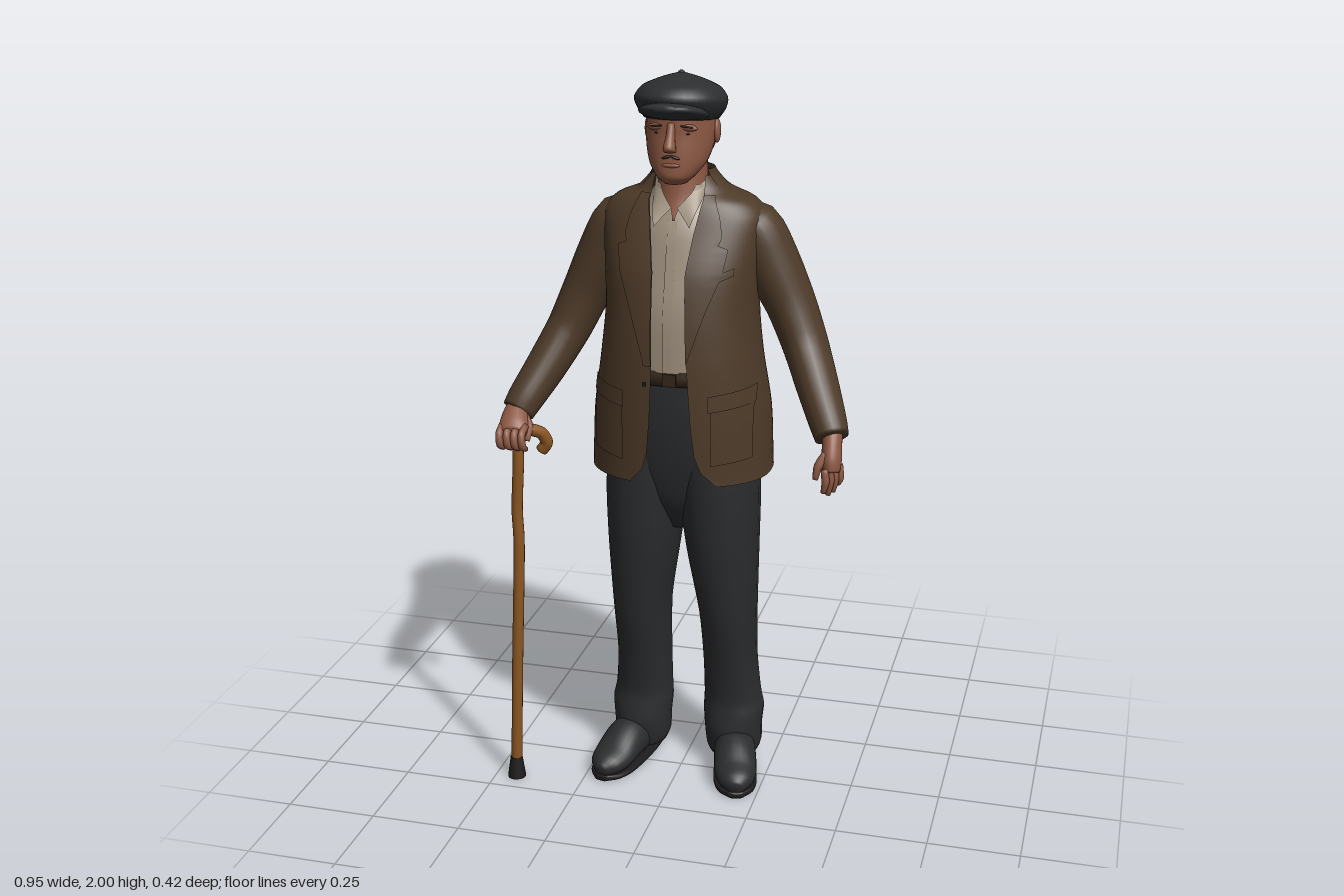
import * as THREE from 'three';

const mat = (name, color, side = THREE.FrontSide) => {
  const m = new THREE.MeshStandardMaterial({ color, side });
  m.name = name;
  return m;
};

// Linear lookup in rows sorted by descending key column
function at(rows, y, k = 0) {
  if (y >= rows[0][k]) return rows[0];
  for (let i = 1; i < rows.length; i++) {
    const a = rows[i - 1], b = rows[i];
    if (y >= b[k]) return a.map((v, j) => v + (b[j] - v) * (a[k] - y) / (a[k] - b[k] || 1));
  }
  return rows[rows.length - 1];
}

// Smoothly subdivide rings [x, y, z, radiusA, radiusB]
function densify(rings, sub = 4) {
  const c = new THREE.CatmullRomCurve3(rings.map(r => new THREE.Vector3(r[0], r[1], r[2])), false, 'catmullrom', 0.4);
  const d = new THREE.CatmullRomCurve3(rings.map(r => new THREE.Vector3(r[3], r[4], 0)), false, 'catmullrom', 0.4);
  const n = (rings.length - 1) * sub, out = [];
  for (let i = 0; i <= n; i++) {
    const p = c.getPoint(i / n), q = d.getPoint(i / n);
    out.push([p.x, p.y, p.z, Math.max(q.x, 0.001), Math.max(q.y, 0.001)]);
  }
  return out;
}

const spow = (v, e) => Math.sign(v) * Math.abs(v) ** e;

// Skin over rings: level (horizontal rings, top down) or square to the path; arc(ring) leaves it open
function loft(rings, { seg = 24, sub = 4, level = false, ref = [0, 0, 1], power = 2, backPower = power, arc = null } = {}) {
  const R = densify(rings, sub), pos = [], idx = [];
  const P = R.map(r => new THREE.Vector3(r[0], r[1], r[2]));
  const cols = arc ? seg + 1 : seg;
  R.forEach((r, i) => {
    let A = new THREE.Vector3(1, 0, 0), B = new THREE.Vector3(0, 0, 1);
    if (!level) {
      const T = P[Math.min(i + 1, P.length - 1)].clone().sub(P[Math.max(i - 1, 0)]).normalize();
      A = new THREE.Vector3(...ref).cross(T).normalize();
      B = T.clone().cross(A);
    }
    const [s, f] = arc ? arc(r) : [0, Math.PI * 2];
    for (let j = 0; j < cols; j++) {
      const a = s + (f - s) * j / seg, e = 2 / (Math.sin(a) < 0 ? backPower : power);
      const v = P[i].clone().addScaledVector(A, r[3] * spow(Math.cos(a), e)).addScaledVector(B, r[4] * spow(Math.sin(a), e));
      pos.push(v.x, v.y, v.z);
    }
  });
  for (let i = 0; i < R.length - 1; i++) for (let j = 0; j < seg; j++) {
    const k = (j + 1) % cols, a = i * cols + j, b = i * cols + k;
    idx.push(a, b, a + cols, b, b + cols, a + cols);
  }
  if (!arc) {
    const n = pos.length / 3, last = (R.length - 1) * cols, q = P[P.length - 1];
    pos.push(P[0].x, P[0].y, P[0].z, q.x, q.y, q.z);
    for (let j = 0; j < seg; j++) {
      const k = (j + 1) % seg;
      idx.push(n, k, j, n + 1, last + j, last + k);
    }
  }
  return build(pos, idx);
}

function build(pos, idx) {
  const g = new THREE.BufferGeometry();
  g.setAttribute('position', new THREE.Float32BufferAttribute(pos, 3));
  g.setIndex(idx);
  g.computeVertexNormals();
  return g;
}

// Grid of points f(u, v)
function patch(f, nu = 6, nv = 14) {
  const pos = [], idx = [];
  for (let i = 0; i <= nv; i++) for (let j = 0; j <= nu; j++) {
    pos.push(...f(j / nu, i / nv));
    if (i < nv && j < nu) {
      const a = i * (nu + 1) + j, b = a + nu + 1;
      idx.push(a, a + 1, b, a + 1, b + 1, b);
    }
  }
  return build(pos, idx);
}

export function createModel() {
  const D = THREE.DoubleSide;
  const jacketM = mat('brown tweed', 0x4d3a28, D), trouserM = mat('charcoal cloth', 0x2b2c2e), capM = mat('cap grey', 0x2c2e30);
  const skin = mat('skin', 0x8c5843), shirtM = mat('shirt beige', 0x9c8e7c, D), wood = mat('cane wood', 0x8a5622);
  const black = mat('black rubber', 0x1c1c1e), hairM = mat('dark hair', 0x2b211c, D), leather = mat('belt leather', 0x35271a);

  const root = new THREE.Group();
  root.name = 'oldManWithCane';
  const add = (name, geo, m, parent = root) => {
    const mesh = new THREE.Mesh(geo, m);
    mesh.name = name;
    parent.add(mesh);
    return mesh;
  };
  const ball = (name, m, p, s, rz = 0) => {
    const b = add(name, new THREE.SphereGeometry(1, 14, 10), m);
    b.position.set(...p); b.scale.set(...s); b.rotation.z = rz;
  };
  const mir = (rings, s) => rings.map(r => [r[0] * s, ...r.slice(1)]);

  // Jacket body, open down the front
  const N = 2.15;
  const jacketRings = [
    [0, 1.735, -0.035, 0.08, 0.07], [0, 1.695, -0.045, 0.125, 0.09], [0, 1.668, -0.045, 0.188, 0.106],
    [0, 1.62, -0.042, 0.22, 0.126], [0, 1.5, -0.02, 0.21, 0.157], [0, 1.38, -0.01, 0.205, 0.172],
    [0, 1.25, -0.007, 0.218, 0.181], [0, 1.1, -0.016, 0.24, 0.192], [0, 0.93, -0.017, 0.248, 0.191]];
  const dense = densify(jacketRings);
  const edge = {
    1: [[1.74, 0.066], [1.68, 0.072], [1.6, 0.058], [1.5, 0.046], [1.25, 0.058], [1.1, 0.068], [1, 0.08], [0.96, 0.1], [0.93, 0.135]],
    '-1': [[1.74, 0.066], [1.68, 0.072], [1.6, 0.058], [1.5, 0.042], [1.25, 0.036], [1.1, 0.043], [1, 0.052], [0.96, 0.068], [0.93, 0.1]] };
  const gap = (r, s) => Math.asin(Math.min(0.98, at(edge[s], r[1])[1] / r[3]) ** (N / 2));
  // asin keeps the opening at the wanted x on the superellipse
  add('jacketBody', loft(jacketRings, { level: true, seg: 60, power: N, backPower: 2.6,
    arc: r => [Math.PI / 2 + gap(r, -1), Math.PI * 2.5 - gap(r, 1)] }), jacketM);
  const front = (x, y) => {
    const r = at(dense, y, 1);
    return r[2] + r[4] * Math.max(0, 1 - Math.min(1, Math.abs(x) / r[3]) ** N) ** (1 / N);
  };
  const plate = (name, m, x0, x1, y0, y1, lift = 0.007, drop = 0) => add(name, patch((u, v) => {
    const x = x0 + (x1 - x0) * u, y = y0 + (y1 - y0) * v + drop * u;
    return [x, y, front(x, y) + lift];
  }, 6, 4), m);

  // Jacket collar round the back of the neck
  add('jacketCollar', loft([[0, 1.752, -0.03, 0.082, 0.072], [0, 1.73, -0.038, 0.093, 0.082], [0, 1.685, -0.045, 0.135, 0.1]],
    { level: true, arc: () => [Math.PI * 0.84, Math.PI * 2.16] }), jacketM);

  // Lapels and hip pockets, mirrored
  const lapelEdge = [[1.7, 0.095], [1.64, 0.12], [1.585, 0.132], [1.575, 0.112], [1.565, 0.148], [1.5, 0.138], [1.4, 0.1], [1.27, 0.058]];
  for (const s of [1, -1]) {
    add('lapel', patch((u, v) => {
      const y = 1.26 + 0.43 * v, a = at(edge[s], y)[1];
      const x = a + (Math.max(at(lapelEdge, y)[1], a) - a) * u;
      return [s * x, y, front(x, y) + 0.008];
    }, 6, 40), jacketM);
    plate('pocketFlap', jacketM, s * 0.115, s * 0.222, 1.14, 1.185, 0.012, 0.012);
    plate('hipPocket', jacketM, s * 0.12, s * 0.218, 0.99, 1.15, 0.006, 0.01);
  }
  plate('breastPocket', jacketM, 0.11, 0.165, 1.475, 1.495, 0.01, 0.02);
  plate('jacketButton', black, -0.06, -0.048, 1.205, 1.217, 0.008);

  // Shirt with open neck, collar points and placket
  const shirtOpen = [[1.72, 0.05], [1.69, 0.036], [1.65, 0.004], [1.6, 0.001]];
  const shirtRings = [[0, 1.715, -0.02, 0.07, 0.065], [0, 1.67, -0.025, 0.095, 0.085], [0, 1.6, -0.025, 0.15, 0.12],
    [0, 1.5, -0.02, 0.18, 0.14], [0, 1.38, -0.01, 0.185, 0.155], [0, 1.2, -0.01, 0.19, 0.158]];
  add('shirt', loft(shirtRings, { level: true, seg: 40, arc: r => {
    const g = Math.asin(Math.min(0.95, at(shirtOpen, r[1])[1] / r[3]));
    return [Math.PI / 2 + g, Math.PI * 2.5 - g];
  } }), shirtM);
  const shirtDense = densify(shirtRings), shirtZ = y => { const r = at(shirtDense, y, 1); return r[2] + r[4]; };
  add('shirtPlacket', patch((u, v) => [-0.012 + 0.024 * u, 1.23 + 0.4 * v, shirtZ(1.23 + 0.4 * v) + 0.003], 2, 12), shirtM);
  for (const s of [1, -1]) add('shirtCollar', patch((u, v) => {
    const x = (1 - v) * (0.07 - 0.002 * u) + v * (0.008 + 0.04 * u);
    const y = (1 - v) * (1.73 - 0.045 * u) + v * (1.66 - 0.045 * u);
    return [s * x, y, (1 - v) * (-0.01 + 0.035 * u) + v * (0.072 + 0.03 * u) + 0.012 * Math.sin(Math.PI * v)];
  }, 4, 8), shirtM);

  // Trousers: hips, belt and legs
  add('trouserHips', loft([[0, 1.23, -0.01, 0.185, 0.152], [0, 1.1, -0.015, 0.2, 0.157], [0, 0.97, -0.022, 0.2, 0.147],
    [0, 0.85, -0.032, 0.13, 0.125], [0, 0.755, -0.035, 0.035, 0.07]], { level: true, seg: 36, power: 2.2 }), trouserM);
  add('belt', loft([[0, 1.238, -0.01, 0.188, 0.157], [0, 1.2, -0.01, 0.192, 0.163]], { level: true, seg: 36, sub: 2, power: 2.2 }), leather);
  add('beltBuckle', new THREE.BoxGeometry(0.036, 0.034, 0.009), leather).position.set(0.008, 1.219, 0.156);

  for (const s of [1, -1]) {
    add('trouserLeg', loft(mir([[0.085, 1.1, -0.018, 0.1, 0.14], [0.098, 0.98, -0.023, 0.107, 0.149], [0.104, 0.86, -0.028, 0.109, 0.149],
      [0.112, 0.7, -0.034, 0.098, 0.141], [0.125, 0.5, -0.052, 0.079, 0.123], [0.127, 0.34, -0.074, 0.075, 0.102],
      [0.132, 0.22, -0.087, 0.08, 0.09], [0.136, 0.17, -0.086, 0.086, 0.092], [0.136, 0.12, -0.082, 0.082, 0.093],
      [0.137, 0.06, -0.088, 0.079, 0.088], [0.137, 0.035, -0.09, 0.07, 0.08]], s), { level: true, power: 2.2 }), trouserM);
    // Shoes splay outwards
    const shoe = [[0.13, 0.045, -0.165, 0.025, 0.025], [0.132, 0.054, -0.148, 0.045, 0.046], [0.143, 0.064, -0.07, 0.054, 0.06],
      [0.162, 0.066, 0.01, 0.06, 0.06], [0.18, 0.046, 0.08, 0.06, 0.042], [0.192, 0.037, 0.125, 0.047, 0.033], [0.2, 0.03, 0.153, 0.018, 0.018]];
    add('shoe', loft(mir(shoe, s), { ref: [0, 1, 0] }), trouserM);
    add('shoeSole', loft(mir(shoe.map(r => [r[0], 0.009, r[2], r[3] + 0.001, 0.009]), s), { ref: [0, 1, 0], power: 4 }), black);
    // Sleeves
    add('sleeve', loft(mir([[0.11, 1.605, -0.055, 0.04, 0.06], [0.185, 1.596, -0.062, 0.066, 0.08], [0.228, 1.5, -0.068, 0.076, 0.084],
      [0.283, 1.39, -0.068, 0.067, 0.08], [0.33, 1.285, -0.045, 0.061, 0.074], [0.377, 1.19, 0.015, 0.056, 0.066],
      [0.417, 1.115, 0.075, 0.05, 0.055], [0.434, 1.08, 0.1, 0.045, 0.047]], s)), jacketM);
  }

  // Relaxed left hand
  const finger = (name, pts, r) => add(name, loft(pts.map((p, i) => [...p, r * (i === pts.length - 1 ? 0.65 : 1), r * (i === pts.length - 1 ? 0.65 : 1)]),
    { seg: 10, sub: 3 }), skin);
  add('leftPalm', loft([[0.432, 1.1, 0.085, 0.028, 0.03], [0.436, 1.06, 0.108, 0.026, 0.032], [0.438, 1.025, 0.122, 0.027, 0.035],
    [0.44, 0.995, 0.13, 0.022, 0.03]]), skin);
  for (let i = 0; i < 4; i++) {
    const x = 0.456 - 0.01 * i, z = 0.106 + 0.016 * i, d = [0.02, 0.004, 0, 0.01][i];
    finger('leftFinger', [[x, 1.01, z], [x + 0.004, 0.975, z + 0.004], [x - 0.002, 0.935 + d, z + 0.002]], 0.0105);
  }
  finger('leftThumb', [[0.425, 1.045, 0.135], [0.408, 1.015, 0.15], [0.402, 0.98, 0.155]], 0.0115);

  // Right hand gripping the cane
  add('rightPalm', loft([[-0.432, 1.1, 0.085, 0.028, 0.032], [-0.432, 1.075, 0.125, 0.036, 0.034], [-0.425, 1.056, 0.16, 0.041, 0.029],
    [-0.422, 1.045, 0.185, 0.035, 0.018]], { ref: [0, 1, 0] }), skin);
  for (let i = 0; i < 4; i++) {
    const x = -0.455 + 0.021 * i;
    finger('rightFinger', [[x, 1.06, 0.165], [x, 1.045, 0.196], [x + 0.003, 1.015, 0.2], [x + 0.006, 1.0, 0.18]], 0.0105);
  }
  finger('rightThumb', [[-0.405, 1.075, 0.125], [-0.385, 1.055, 0.15], [-0.386, 1.02, 0.168]], 0.011);

  // Cane with crook handle
  const cane = [[-0.366, 0.975, 0.108], [-0.35, 1.0, 0.11], [-0.362, 1.03, 0.122], [-0.39, 1.045, 0.148], [-0.41, 1.03, 0.168],
    [-0.412, 0.95, 0.172], [-0.42, 0.82, 0.17], [-0.417, 0.7, 0.172], [-0.43, 0.35, 0.179], [-0.44, 0.03, 0.185]];
  add('cane', loft(cane.map((p, i) => [...p, i < 4 ? 0.017 : 0.0155, i < 4 ? 0.017 : 0.0155]), { seg: 14, sub: 5 }), wood);
  add('caneFerrule', new THREE.CylinderGeometry(0.017, 0.026, 0.062, 18), black).position.set(-0.44, 0.031, 0.185);

  // Head and neck
  add('neck', loft([[0, 1.83, -0.025, 0.066, 0.068], [0, 1.75, -0.025, 0.063, 0.066], [0, 1.68, -0.015, 0.066, 0.066],
    [0, 1.62, 0.005, 0.06, 0.07]], { level: true }), skin);
  const head = [[0, 1.95, 0, 0.06, 0.07], [0, 1.92, 0, 0.086, 0.1], [0, 1.88, 0, 0.089, 0.104], [0, 1.85, 0.001, 0.09, 0.103],
    [0, 1.81, 0.01, 0.085, 0.098], [0, 1.775, 0.028, 0.074, 0.082], [0, 1.745, 0.05, 0.052, 0.06], [0, 1.725, 0.056, 0.03, 0.038]];
  add('head', loft(head, { level: true, seg: 32, power: 2.1 }), skin);
  add('hair', loft([[0, 1.91, -0.003, 0.093, 0.106], [0, 1.86, -0.003, 0.094, 0.105], [0, 1.825, -0.006, 0.09, 0.096],
    [0, 1.8, -0.012, 0.08, 0.082]], { level: true, arc: () => [Math.PI * 1.08, Math.PI * 1.92] }), hairM);
  add('nose', loft([[0, 1.885, 0.097, 0.01, 0.012], [0, 1.855, 0.108, 0.011, 0.016], [0, 1.825, 0.12, 0.016, 0.023],
    [0, 1.812, 0.112, 0.016, 0.014]], { level: true, seg: 16 }), skin);
  ball('lips', skin, [0, 1.777, 0.107], [0.024, 0.006, 0.006]);
  for (const s of [1, -1]) {
    ball('browRidge', skin, [s * 0.036, 1.873, 0.088], [0.03, 0.01, 0.012], s * -0.1);
    ball('eyebrow', hairM, [s * 0.036, 1.876, 0.096], [0.022, 0.003, 0.006], s * -0.1);
    ball('eye', hairM, [s * 0.036, 1.857, 0.091], [0.011, 0.003, 0.005]);
    ball('moustache', hairM, [s * 0.011, 1.798, 0.107], [0.014, 0.004, 0.006], s * -0.3);
    ball('ear', skin, [s * 0.092, 1.85, -0.015], [0.009, 0.032, 0.02]);
  }

  // Flat cap: crown, button and peak
  const cap = new THREE.Group();
  cap.name = 'flatCap';
  cap.position.y = 1.93;
  cap.rotation.x = -0.09;
  root.add(cap);
  add('capCrown', loft([[0, 0.068, 0.004, 0.008, 0.008], [0, 0.056, 0.002, 0.05, 0.056], [0, 0.035, 0.002, 0.098, 0.113],
    [0, 0.006, 0.002, 0.12, 0.137], [0, -0.022, -0.005, 0.114, 0.127], [0, -0.047, -0.008, 0.097, 0.109]],
    { level: true, seg: 36 }), capM, cap);
  add('capButton', new THREE.SphereGeometry(0.01, 12, 8), capM, cap).position.set(0, 0.064, 0.004);
  add('capPeak', loft([[0, 1.9, 0.05, 0.09, 0.022], [0, 1.915, 0.105, 0.086, 0.022], [0, 1.926, 0.148, 0.062, 0.015],
    [0, 1.93, 0.172, 0.026, 0.008]], { ref: [0, 1, 0] }), capM);

  return root;
}
